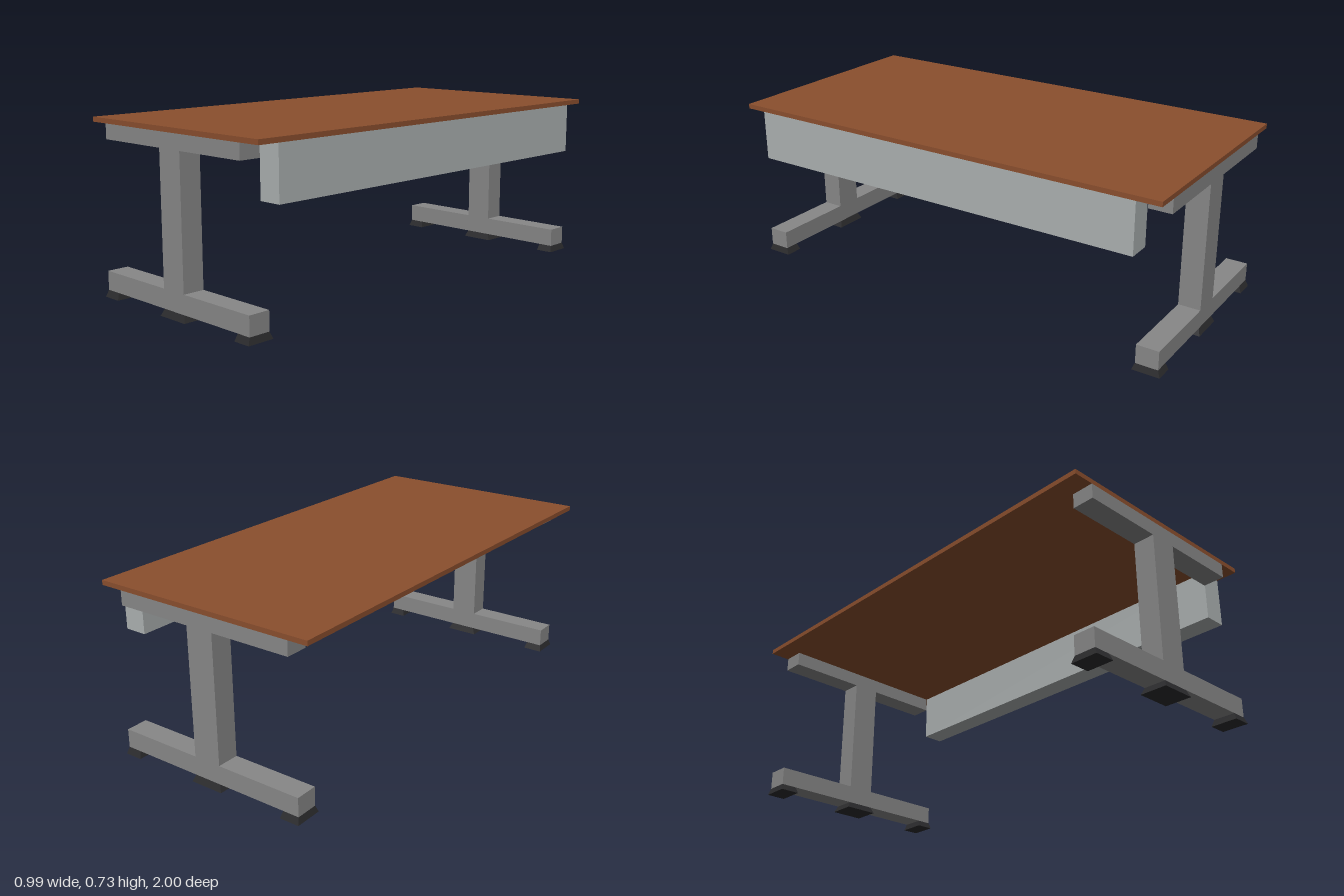
import * as THREE from 'three';

const makeMaterial = (name, color) => {
  const m = new THREE.MeshStandardMaterial({ color });
  m.name = name;
  return m;
};

// Box given by its extents on each axis
function block(name, material, [x0, x1], [y0, y1], [z0, z1]) {
  const mesh = new THREE.Mesh(new THREE.BoxGeometry(x1 - x0, y1 - y0, z1 - z0), material);
  mesh.position.set((x0 + x1) / 2, (y0 + y1) / 2, (z0 + z1) / 2);
  mesh.name = name;
  return mesh;
}

// Foot pad: a block whose lower face flares outward
function footPad(name, material, xs, zs, flareX, flareZ) {
  const mesh = block(name, material, xs, [0, 0.028], zs);
  const p = mesh.geometry.attributes.position;
  for (let i = 0; i < p.count; i++) {
    if (p.getY(i) < 0) {
      p.setX(i, p.getX(i) + Math.sign(p.getX(i)) * flareX);
      p.setZ(i, p.getZ(i) + Math.sign(p.getZ(i)) * flareZ);
    }
  }
  mesh.geometry = mesh.geometry.toNonIndexed();
  mesh.geometry.computeVertexNormals();
  return mesh;
}

export function createModel() {
  const wood = makeMaterial('brown wood', 0x8b4f2e);
  const frame = makeMaterial('grey frame', 0x888888);
  const panel = makeMaterial('light grey panel', 0xacb1b1);
  const rubber = makeMaterial('black rubber', 0x2b2b2d);

  const table = new THREE.Group();
  table.name = 'table';
  table.add(block('tableTop', wood, [-0.498, 0.495], [0.705, 0.725], [-0.988, 0.988]));
  table.add(block('cableTray', panel, [0.398, 0.495], [0.492, 0.705], [-0.888, 0.898]));

  // I-shaped leg frames at both ends
  for (const [name, zs] of [['frontLeg', [0.896, 0.988]], ['backLeg', [-0.985, -0.89]]]) {
    const leg = new THREE.Group();
    leg.name = name;
    leg.add(
      block('topBeam', frame, [-0.41, 0.398], [0.643, 0.705], zs),
      block('column', frame, [-0.061, 0.061], [0.107, 0.643], zs),
      block('footBeam', frame, [-0.438, 0.432], [0.028, 0.107], zs),
      footPad('leftPad', rubber, [0.369, 0.432], zs, 0.007, 0.011),
      footPad('middlePad', rubber, [-0.06, 0.062], zs, 0.013, 0.011),
      footPad('rightPad', rubber, [-0.438, -0.367], zs, 0.007, 0.011)
    );
    table.add(leg);
  }
  return table;
}
